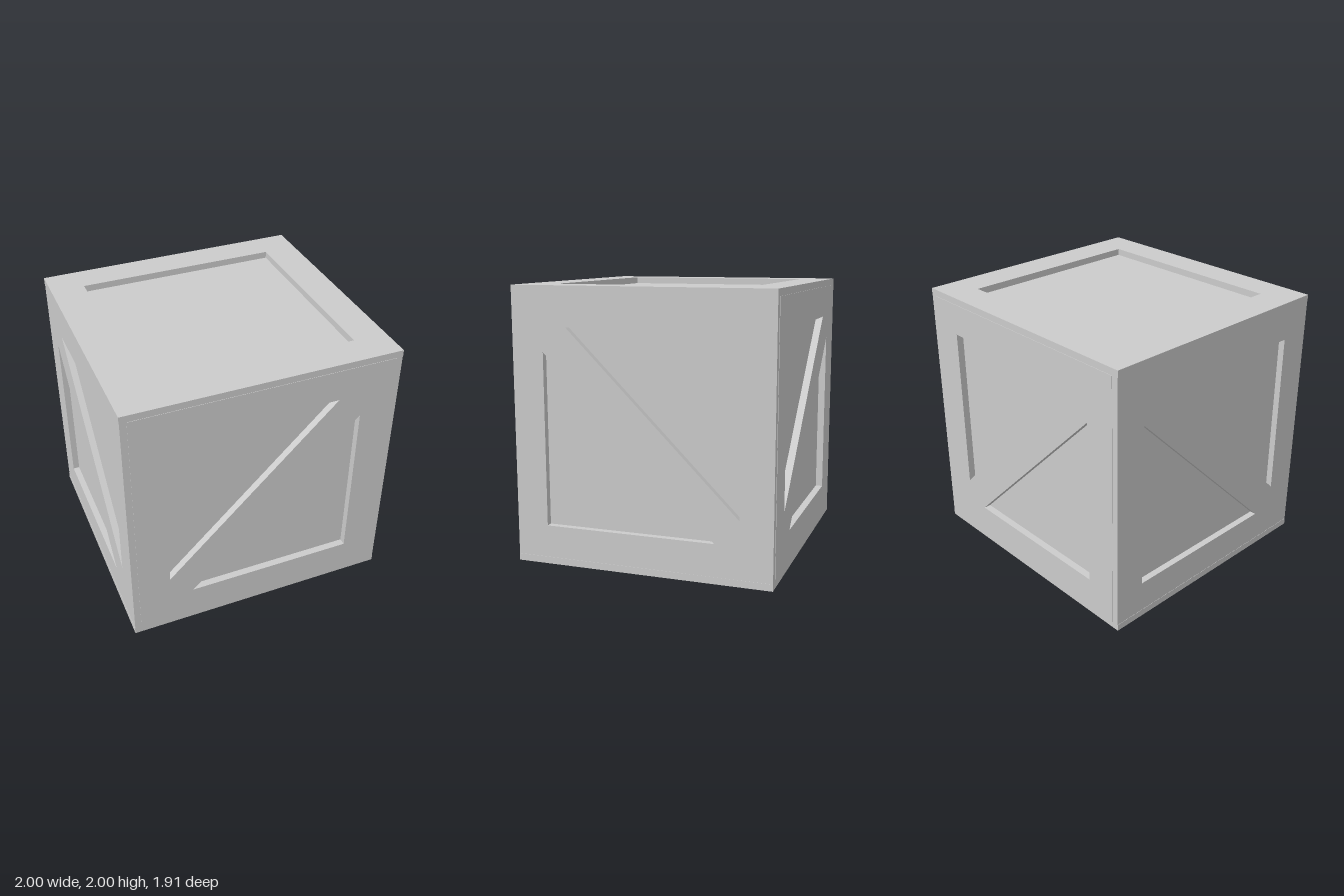
import * as THREE from 'three';

const material = new THREE.MeshStandardMaterial({ color: 0xcccccc, flatShading: true });

function addMesh(parent, geometry, name) {
  const mesh = new THREE.Mesh(geometry, material);
  mesh.name = name;
  parent.add(mesh);
  return mesh;
}

function polygon(points) {
  return new THREE.Shape(points.map(([x, y]) => new THREE.Vector2(x, y)));
}

function rectangle(w, h) {
  return polygon([[-w, -h], [w, -h], [w, h], [-w, h]]);
}

function extrude(shape, depth) {
  return new THREE.ExtrudeGeometry(shape, { depth, bevelEnabled: false });
}

// Frame in the XY plane, half sizes for the outline and the opening
function frameGeometry(w, h, openW, openH, depth) {
  const shape = rectangle(w, h);
  shape.holes.push(rectangle(openW, openH));
  return extrude(shape, depth);
}

// Diagonal brace trimmed to the opening; slant 1 rises to the right, -1 falls
function braceGeometry(half, cut, slant, depth) {
  const k = half - cut;
  const points = [[-half, -half], [-k, -half], [half, k], [half, half], [k, half], [-half, -k]];
  return extrude(polygon(points.map(([x, y]) => [x * slant, y])), depth);
}

export function createModel() {
  const crate = new THREE.Group();
  crate.name = 'crate';
  const opening = 0.715, cut = 0.177;

  // Inner box forms the recessed panels
  addMesh(crate, new THREE.BoxGeometry(1.9, 1.9, 1.8), 'innerBox').position.y = 1;

  // Upright faces: framed opening with a diagonal brace
  const sides = [
    { name: 'front', turn: 0, inner: 0.9, depth: 0.053, slant: 1 },
    { name: 'left', turn: 1, inner: 0.95, depth: 0.048, slant: -1 },
    { name: 'back', turn: 2, inner: 0.9, depth: 0.053, slant: 1 },
    { name: 'right', turn: 3, inner: 0.95, depth: 0.048, slant: -1 },
  ];
  for (const { name, turn, inner, depth, slant } of sides) {
    const side = new THREE.Group();
    side.name = name + 'Side';
    side.position.y = 1;
    side.rotation.y = turn * Math.PI / 2;
    addMesh(side, frameGeometry(0.95, 0.95, opening, opening, depth), name + 'Frame').position.z = inner;
    addMesh(side, braceGeometry(opening, cut, slant, depth), name + 'Brace').position.z = inner;
    crate.add(side);
  }

  // Lid and base frames
  for (const [name, direction] of [['lidFrame', 1], ['baseFrame', -1]]) {
    const frame = addMesh(crate, frameGeometry(1, 0.95, 0.75, opening, 0.05), name);
    frame.rotation.x = -direction * Math.PI / 2;
    frame.position.y = 1 + direction * 0.95;
  }
  return crate;
}
